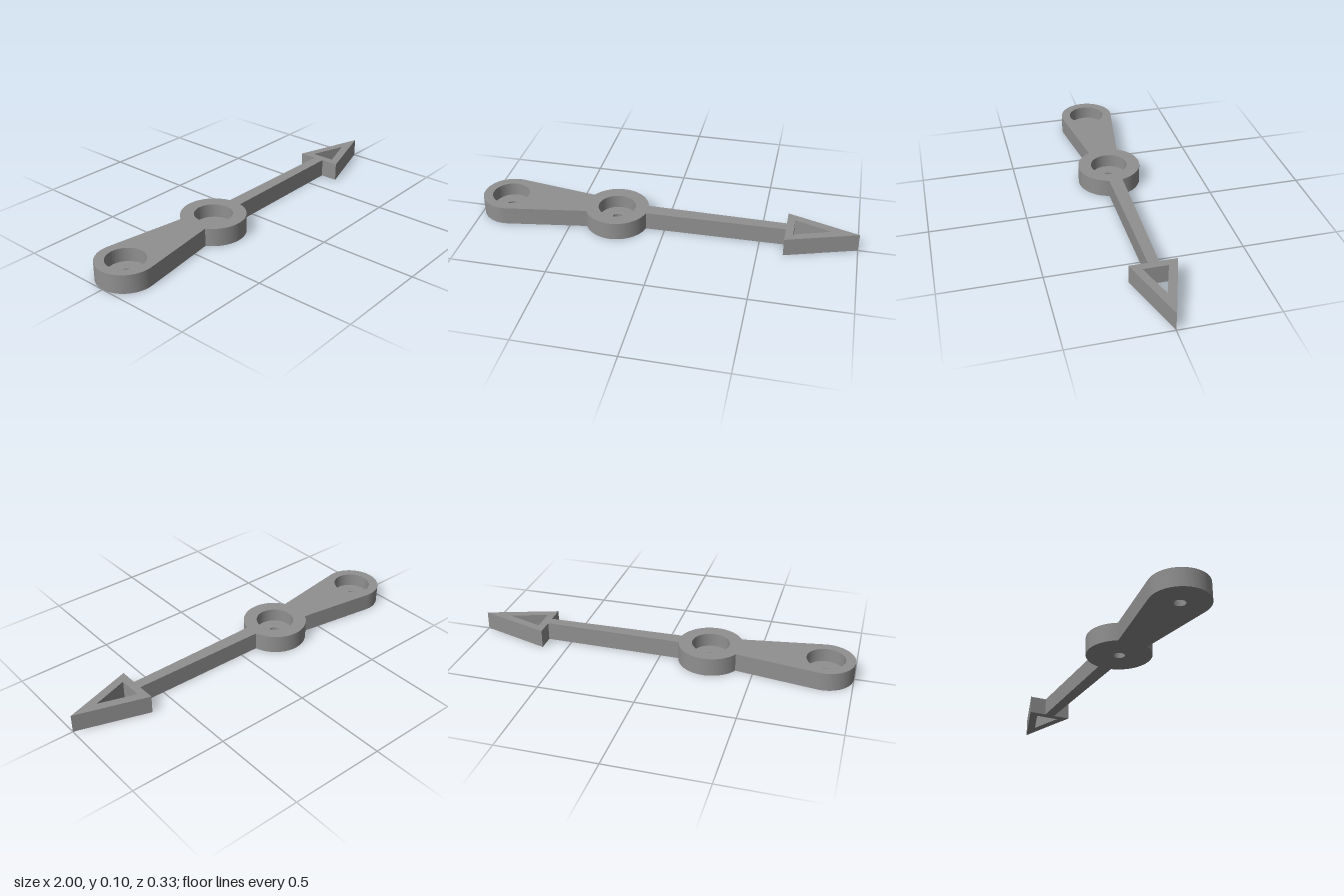
import * as THREE from 'three';
import { toCreasedNormals } from 'three/addons/utils/BufferGeometryUtils.js';

const HEIGHT = 0.096;
const FLOOR = 0.025; // thickness left under each bore
const BORE_R = 0.098;
const PIN_R = 0.029;
const SEGMENTS = 48;
const TAIL = { x: -0.853, r: 0.147 };
const HUB = { x: -0.262, r: 0.167 };

// Pointer outline in plan, counter-clockwise from the arrow tip
function pointerShape() {
  const shaftAngle = Math.asin(0.036 / HUB.r);
  const armAngle = Math.PI - Math.asin(0.08 / HUB.r);
  const tailAngle = THREE.MathUtils.degToRad(81.2);

  const shape = new THREE.Shape();
  shape.moveTo(1, 0);
  shape.lineTo(0.63, 0.12);
  shape.lineTo(0.63, 0.027);
  shape.absarc(HUB.x, 0, HUB.r, shaftAngle, armAngle, false);
  shape.absarc(TAIL.x, 0, TAIL.r, tailAngle, 2 * Math.PI - tailAngle, false);
  shape.absarc(HUB.x, 0, HUB.r, -armAngle, -shaftAngle, false);
  shape.lineTo(0.63, -0.027);
  shape.lineTo(0.63, -0.12);
  shape.closePath();

  // Triangular window in the arrowhead
  const windowHole = new THREE.Path();
  windowHole.moveTo(0.67, 0.063);
  windowHole.lineTo(0.67, -0.063);
  windowHole.lineTo(0.86, 0);
  windowHole.closePath();
  shape.holes.push(windowHole);

  // Round bores in the tail and hub
  for (const { x } of [TAIL, HUB]) {
    shape.holes.push(new THREE.Path().absarc(x, 0, BORE_R, 0, Math.PI * 2, true));
  }
  return shape;
}

// Extrude a plan shape upward, smooth round walls, crisp corners
function plate(shape, height) {
  const geometry = new THREE.ExtrudeGeometry(shape, {
    depth: height, bevelEnabled: false, curveSegments: SEGMENTS,
  });
  geometry.rotateX(-Math.PI / 2);
  return toCreasedNormals(geometry, Math.PI / 9);
}

export function createModel() {
  const model = new THREE.Group();
  model.name = 'pointer';
  const grey = new THREE.MeshStandardMaterial({ color: 0x909090 });
  grey.name = 'grey';

  const body = new THREE.Mesh(plate(pointerShape(), HEIGHT), grey);
  body.name = 'pointerBody';
  model.add(body);

  // Thin floors at the bottom of the bores, each with a pin hole
  const ring = new THREE.Shape().absarc(0, 0, BORE_R, 0, Math.PI * 2, false);
  ring.holes.push(new THREE.Path().absarc(0, 0, PIN_R, 0, Math.PI * 2, true));
  const floorGeometry = plate(ring, FLOOR);
  for (const [name, { x }] of [['tailBoreFloor', TAIL], ['hubBoreFloor', HUB]]) {
    const floor = new THREE.Mesh(floorGeometry, grey);
    floor.name = name;
    floor.position.x = x;
    model.add(floor);
  }
  return model;
}
